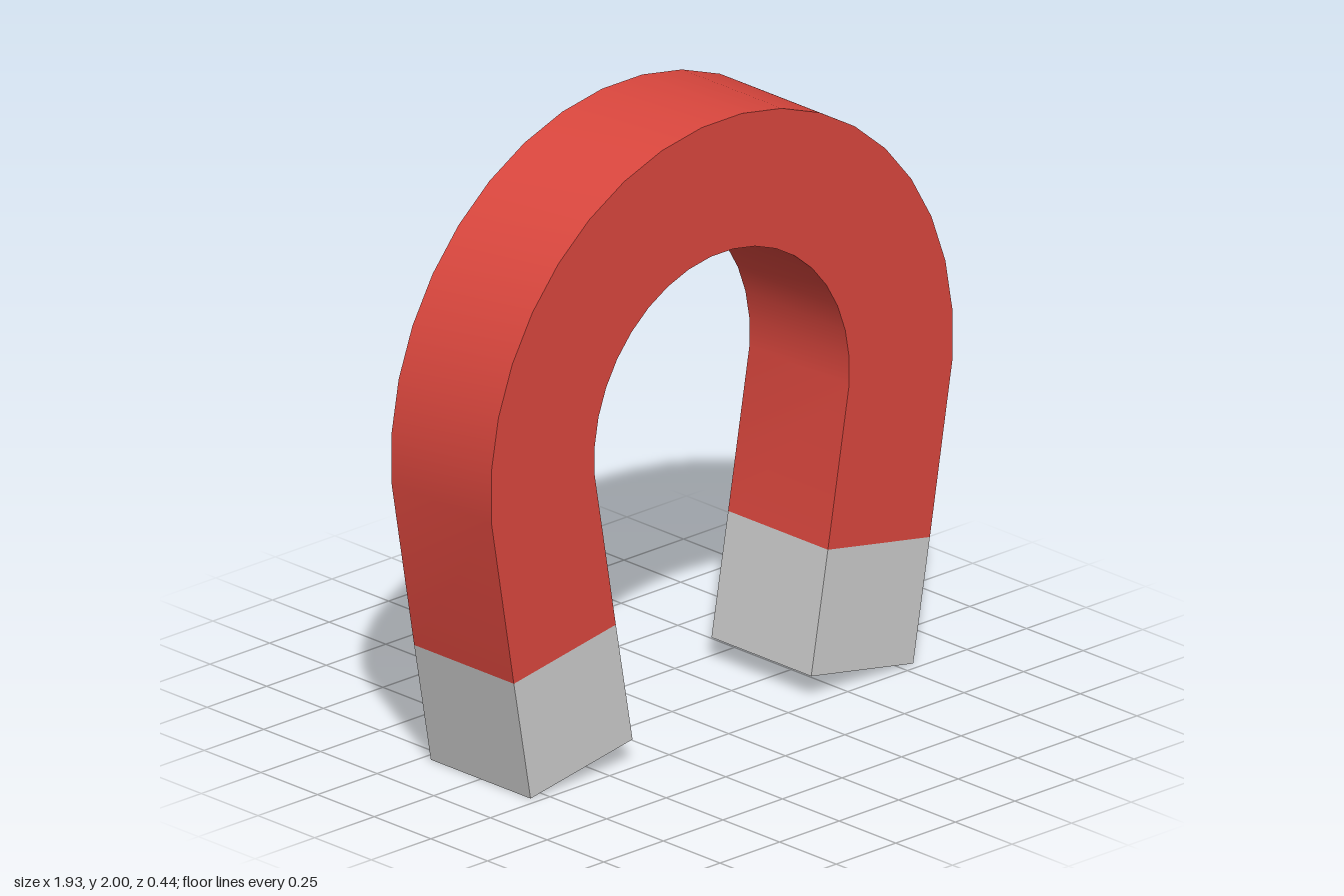
import * as THREE from 'three';
import { toCreasedNormals } from 'three/addons/utils/BufferGeometryUtils.js';

const DEPTH = 0.44;
const CENTRE_Y = 1.032;
const OUTER_R = 0.971;
const INNER_R = 0.536;

// Flat outline pushed to the magnet's depth, smooth along the bend
function slab(points, color, name) {
  const geometry = new THREE.ExtrudeGeometry(new THREE.Shape(points), { depth: DEPTH, bevelEnabled: false });
  geometry.translate(0, 0, -DEPTH / 2);
  const mesh = new THREE.Mesh(
    toCreasedNormals(geometry, 0.5),
    new THREE.MeshStandardMaterial({ color })
  );
  mesh.name = name;
  return mesh;
}

// Bend in ten-degree steps, from the right leg over the top to the left leg
function bend(radius) {
  const points = [];
  for (let deg = -5; deg <= 185; deg += 10) {
    const a = THREE.MathUtils.degToRad(deg);
    points.push(new THREE.Vector2(radius * Math.cos(a), CENTRE_Y + radius * Math.sin(a)));
  }
  return points;
}

export function createModel() {
  const group = new THREE.Group();
  group.name = 'horseshoeMagnet';
  const v = (x, y) => new THREE.Vector2(x, y);

  // Red body: outer bend one way, inner bend back, legs ending where the tips begin
  const body = [
    v(0.873, 0.395), ...bend(OUTER_R), v(-0.873, 0.395),
    v(-0.445, 0.471), ...bend(INNER_R).reverse(), v(0.445, 0.471),
  ];
  group.add(slab(body, 0xdb473e, 'body'));

  // Bare metal tips, mirrored
  for (const [side, name] of [[1, 'leftTip'], [-1, 'rightTip']]) {
    const tip = [v(0.873, 0.395), v(0.445, 0.471), v(0.375, 0.076), v(0.803, 0)];
    group.add(slab(tip.map((p) => v(p.x * side, p.y)), 0xcccccc, name));
  }
  return group;
}
